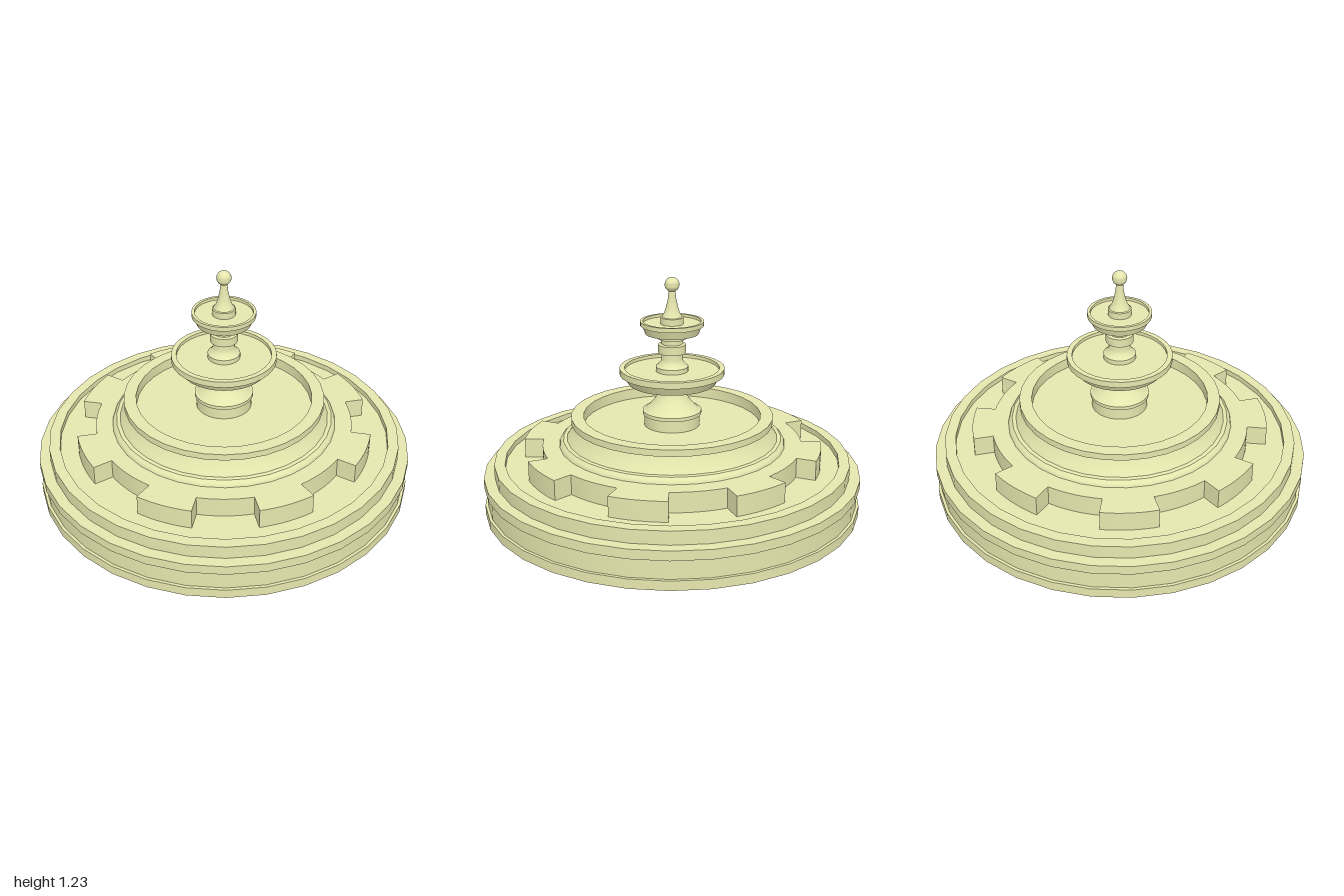
import * as THREE from 'three';
import { toCreasedNormals } from 'three/addons/utils/BufferGeometryUtils.js';

const stone = new THREE.MeshStandardMaterial({ color: 0xe6e6ae, side: THREE.DoubleSide });

function add(group, name, geometry) {
  const mesh = new THREE.Mesh(toCreasedNormals(geometry, 0.5), stone);
  mesh.name = name;
  group.add(mesh);
  return mesh;
}

// Turned part: [radius, height] pairs running up the outside, then in to the axis
function turned(group, name, profile) {
  const points = profile.map(([r, y]) => new THREE.Vector2(r, y));
  return add(group, name, new THREE.LatheGeometry(points, 32));
}

// Notched step: a disc with evenly spaced teeth, traced as arcs
function notchedShape(root, tip, teeth, halfAngle) {
  const shape = new THREE.Shape();
  const pitch = (Math.PI * 2) / teeth;
  for (let i = 0; i < teeth; i++) {
    const mid = i * pitch;
    shape.absarc(0, 0, tip, mid - halfAngle, mid + halfAngle, false);
    shape.absarc(0, 0, root, mid + halfAngle, mid + pitch - halfAngle, false);
  }
  shape.closePath();
  return shape;
}

export function createModel() {
  const fountain = new THREE.Group();
  fountain.name = 'fountain';

  // Banded base, a thin shell open underneath
  turned(fountain, 'base', [
    [1, 0], [1, 0.05], [0.985, 0.05], [0.985, 0.15], [1, 0.15], [1, 0.2], [0, 0.2],
  ]);

  // Raised kerb around a sunken floor
  turned(fountain, 'kerb', [
    [0.943, 0.2], [0.943, 0.27], [0.887, 0.27], [0.887, 0.24], [0, 0.24],
  ]);

  // Step with eight projecting blocks
  const step = new THREE.ExtrudeGeometry(notchedShape(0.687, 0.79, 8, 0.185), {
    depth: 0.106, bevelEnabled: false, curveSegments: 4,
  });
  step.rotateX(-Math.PI / 2);
  add(fountain, 'notchedStep', step).position.y = 0.24;

  // Main basin: sloped foot, narrow ledge, hollowed wall and rim
  turned(fountain, 'mainBasin', [
    [0.6, 0.345], [0.595, 0.36], [0.578, 0.376], [0.558, 0.378], [0.54, 0.405], [0.523, 0.433],
    [0.51, 0.463], [0.533, 0.463], [0.533, 0.498], [0.468, 0.498], [0.468, 0.44], [0, 0.44],
  ]);

  // Flared pedestal carrying the middle bowl
  turned(fountain, 'pedestal', [
    [0.147, 0.44], [0.147, 0.503], [0.155, 0.503], [0.155, 0.522], [0.145, 0.524],
    [0.12, 0.547], [0.093, 0.578], [0.075, 0.61], [0.062, 0.648],
    [0.095, 0.648], [0.095, 0.675], [0, 0.675],
  ]);

  turned(fountain, 'middleBowl', [
    [0, 0.672], [0.23, 0.672], [0.255, 0.72], [0.275, 0.72], [0.275, 0.753],
    [0.248, 0.753], [0.248, 0.735], [0, 0.735],
  ]);

  // Turned stem between the bowls
  turned(fountain, 'stem', [
    [0.085, 0.735], [0.085, 0.76], [0.075, 0.768], [0.06, 0.785], [0.056, 0.8], [0.056, 0.83],
    [0.072, 0.833], [0.072, 0.878], [0.056, 0.882], [0.056, 0.91],
    [0.076, 0.91], [0.076, 0.938], [0, 0.938],
  ]);

  turned(fountain, 'topBowl', [
    [0, 0.938], [0.14, 0.938], [0.154, 0.98], [0.165, 0.98], [0.165, 1.003],
    [0.15, 1.003], [0.15, 0.988], [0, 0.988],
  ]);

  // Slender spire and ball
  turned(fountain, 'spire', [
    [0.06, 0.988], [0.06, 1.022], [0.053, 1.025], [0.041, 1.045], [0.031, 1.075],
    [0.022, 1.115], [0.016, 1.17], [0, 1.17],
  ]);
  add(fountain, 'ball', new THREE.SphereGeometry(0.038, 24, 16)).position.y = 1.192;

  return fountain;
}
